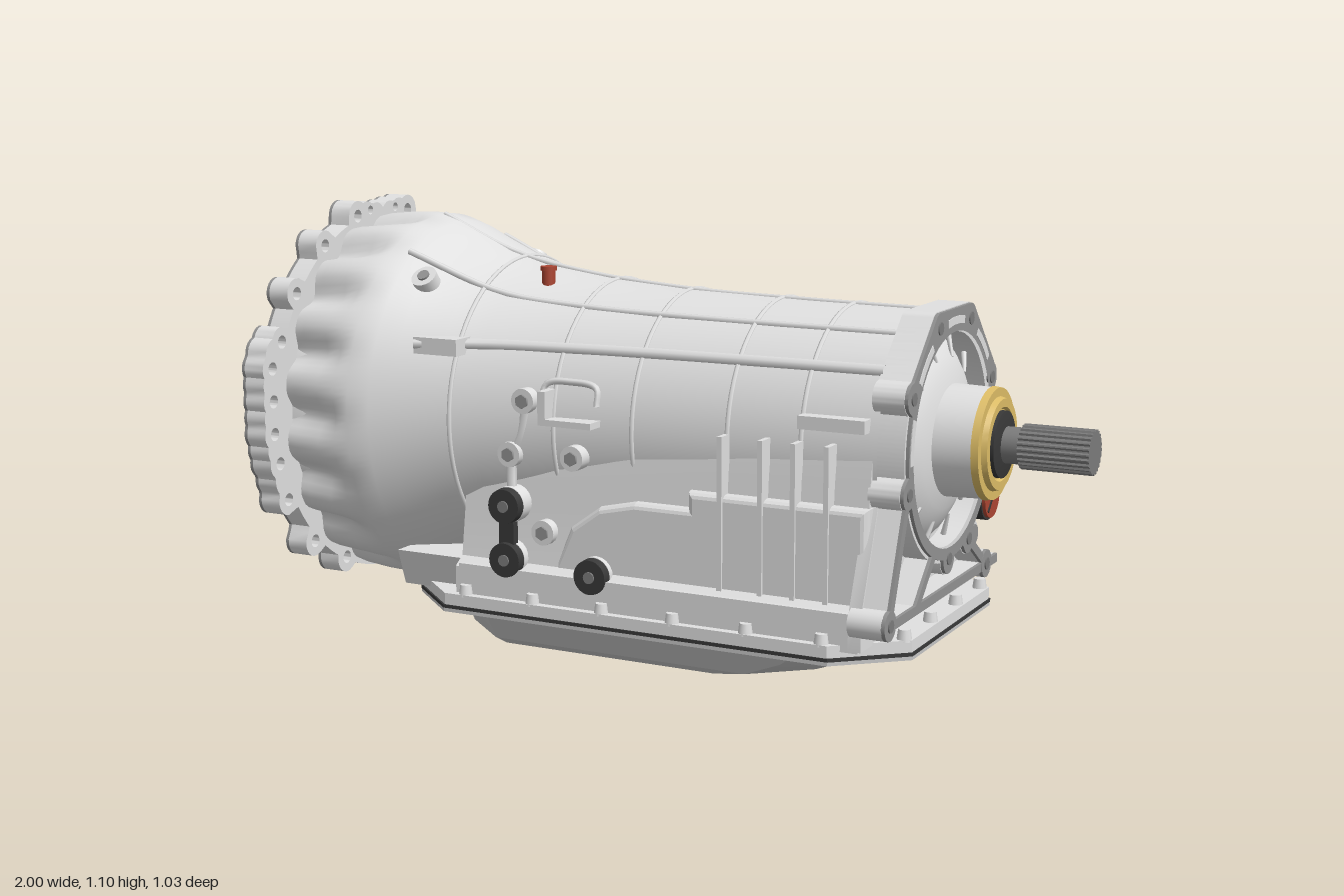
import * as THREE from 'three';
import { toCreasedNormals } from 'three/addons/utils/BufferGeometryUtils.js';

const CY = 0.612; // height of the main axis
const mat = (name, color, side = THREE.FrontSide) => Object.assign(new THREE.MeshStandardMaterial({ color, side }), { name });

export function createModel() {
  const root = new THREE.Group();
  root.name = 'gearbox';
  const alloy = mat('cast alloy', 0xe0e0e0, THREE.DoubleSide), machined = mat('machined face', 0x929292);
  const panGrey = mat('pan grey', 0xc6c6c6), steel = mat('dark steel', 0x7c7c7c);
  const black = mat('black rubber', 0x383838), brass = mat('brass', 0xdcbc66), red = mat('red plastic', 0xab4532);

  const add = (name, geo, m) => {
    const mesh = new THREE.Mesh(geo, m);
    mesh.name = name;
    root.add(mesh);
    return mesh;
  };
  const box = (name, m, x0, x1, y0, y1, z0, z1) =>
    add(name, new THREE.BoxGeometry(x1 - x0, y1 - y0, z1 - z0).translate((x0 + x1) / 2, (y0 + y1) / 2, (z0 + z1) / 2), m);
  // cylinder between two points
  const rod = (name, m, a, b, r, r2 = r, n = 20) => {
    const p = new THREE.Vector3(...a), d = new THREE.Vector3(...b).sub(p);
    const mesh = add(name, new THREE.CylinderGeometry(r2, r, d.length(), n), m);
    mesh.position.copy(p).addScaledVector(d, 0.5);
    mesh.quaternion.setFromUnitVectors(new THREE.Vector3(0, 1, 0), d.normalize());
  };
  const rodX = (name, m, x0, x1, y, z, r, n = 20) => rod(name, m, [x0, y, z], [x1, y, z], r, r, n);
  // profile of [x, radius] turned about the main axis
  const turn = (name, m, pts, n = 64) => {
    const g = new THREE.LatheGeometry(pts.map(([x, r]) => new THREE.Vector2(r, x)), n).rotateZ(-Math.PI / 2);
    add(name, toCreasedNormals(g, 0.5).translate(0, CY, 0), m);
  };
  // outline of [z, y] with round holes [z, y, r], extruded from x0 to x1
  const slab = (name, m, pts, x0, x1, holes = []) => {
    const s = new THREE.Shape(pts.map(([z, y]) => new THREE.Vector2(-z, y)));
    for (const [z, y, r] of holes) s.holes.push(new THREE.Path().absarc(-z, y, r, 0, Math.PI * 2, true));
    const g = new THREE.ExtrudeGeometry(s, { depth: x1 - x0, bevelEnabled: false, curveSegments: 28 });
    add(name, toCreasedNormals(g.rotateY(Math.PI / 2).translate(x0, 0, 0), 0.5), m);
  };
  // skin over closed rings of points, last ring capped if wanted
  const loft = (name, m, rings, cap, crease) => {
    const n = rings[0].length, idx = [], e = (rings.length - 1) * n;
    for (let i = 0; i < e; i += n)
      for (let j = 0; j < n; j++) {
        const a = i + j, b = i + (j + 1) % n;
        idx.push(a, b, a + n, b, b + n, a + n);
      }
    if (cap) for (let j = 1; j < n - 1; j++) idx.push(e, e + j, e + j + 1);
    const g = new THREE.BufferGeometry();
    g.setAttribute('position', new THREE.Float32BufferAttribute(rings.flat(2), 3));
    g.setIndex(idx);
    add(name, toCreasedNormals(g, crease), m);
  };
  const tube = (name, pts, r) =>
    add(name, new THREE.TubeGeometry(new THREE.CatmullRomCurve3(pts.map(p => new THREE.Vector3(...p))), 32, r, 6), alloy);
  // round outline that swells around each lug [z, y]
  const lugOutline = (R, lugs, lr) => Array.from({ length: 360 }, (_, i) => {
    const t = i * Math.PI / 180, c = Math.cos(t), s = Math.sin(t);
    let r = R;
    for (const [z, y] of lugs) {
      const along = z * c + (y - CY) * s, off = -z * s + (y - CY) * c;
      if (along > 0 && Math.abs(off) < lr) r = Math.max(r, along + Math.sqrt(lr * lr - off * off));
    }
    return [r * c, CY + r * s];
  });
  const mirror = pts => pts.flatMap(([z, y]) => [[z, y], [-z, y]]);
  // close row of points that fills an outline straight between two lugs
  const row = (a, b) => Array.from({ length: 16 }, (_, i) => [0, 1].map(k => a[k] + (b[k] - a[k]) * i / 15));

  // main housing with bolt pockets around the bell
  const profile = [[-0.89, 0.448], [-0.86, 0.455], [-0.79, 0.462], [-0.74, 0.464], [-0.7, 0.46], [-0.65, 0.443], [-0.6, 0.42], [-0.5, 0.376],
    [-0.4, 0.348], [-0.2, 0.322], [0, 0.308], [0.3, 0.3], [0.6, 0.296]];
  const radiusAt = x => {
    const i = Math.max(1, profile.findIndex(p => p[0] >= x)), [x0, r0] = profile[i - 1], [x1, r1] = profile[i];
    return r0 + (r1 - r0) * (x - x0) / (x1 - x0);
  };
  const pocket = [0.035, 0.04, 0.034, 0.016];
  loft('housing', alloy, profile.map(([x, r], i) => Array.from({ length: 180 }, (_, j) => {
    const a = j / 180 * Math.PI * 2, q = r - (pocket[i] || 0) * (0.5 - 0.5 * Math.cos(18 * a)) ** 1.5;
    return [x, CY + q * Math.cos(a), q * Math.sin(a) * (x < -0.55 ? 0.96 : 1)];
  })), false, 0.9);

  // bell flange
  const lugs = mirror([[0.11, 1.067], [0.25, 1.005], [0.37, 0.9], [0.435, 0.79], [0.475, 0.73], [0.475, 0.65], [0.475, 0.57],
    [0.458, 0.495], [0.43, 0.4], [0.33, 0.275], [0.2, 0.205]]);
  const webs = mirror([[0.03, 1.058], [0.07, 1.063], [0.46, 0.765], [0.474, 0.69], [0.474, 0.61], [0.465, 0.53], [0.44, 0.45]]);
  const bellHoles = [[0, CY, 0.405], ...lugs.map(([z, y]) => [z, y, 0.016]), [0.055, 1.078, 0.011], [-0.055, 1.078, 0.011]];
  const bellEdge = lugOutline(0.46, [...lugs, ...webs], 0.038);
  slab('bellFlange', alloy, bellEdge, -0.942, -0.888, bellHoles);
  slab('bellMatingFace', machined, bellEdge, -0.95, -0.942, bellHoles);
  turn('bellInterior', alloy, [[-0.95, 0.406], [-0.85, 0.4], [-0.76, 0.36], [-0.74, 0]]);
  rodX('starterBulge', alloy, -0.89, -0.72, 0.37, -0.365, 0.11, 32);
  add('starterBulgeEnd', new THREE.SphereGeometry(0.11, 32, 16).translate(-0.72, 0.37, -0.365), alloy);

  // torque converter
  turn('converter', alloy, [[-0.91, 0], [-0.91, 0.1], [-0.9, 0.11], [-0.9, 0.2], [-0.885, 0.21], [-0.885, 0.3], [-0.875, 0.31],
    [-0.875, 0.36], [-0.77, 0.36]]);
  for (const [r, x] of [[0.1, -0.908], [0.205, -0.892], [0.305, -0.88], [0.36, -0.872]])
    add('converterGroove', new THREE.TorusGeometry(r, 0.003, 6, 64).rotateY(Math.PI / 2).translate(x, CY, 0), machined);
  turn('converterHub', machined, [[-0.96, 0], [-0.96, 0.035], [-0.93, 0.04], [-0.93, 0.06], [-0.9, 0.06]], 32);
  rodX('converterPilot', steel, -0.99, -0.93, CY, 0, 0.022);
  rodX('pilotCollar', steel, -1, -0.982, CY, 0, 0.036, 24);
  for (let i = 0; i < 12; i++) {
    const a = i * Math.PI / 6, c = Math.cos(a), s = Math.sin(a);
    rodX('converterBolt', steel, -0.905, -0.89, CY + 0.16 * c, 0.16 * s, 0.013, 8);
    if (i % 2) rodX('driveLug', machined, -0.89, -0.87, CY + 0.33 * c, 0.33 * s, 0.018, 12);
  }

  // lower case
  slab('lowerCase', alloy, [[0.365, 0.19], [0.365, 0.27], [0.335, 0.29], [0.315, 0.42], [0.305, 0.55], [0.29, 0.65], [-0.29, 0.65],
    [-0.305, 0.55], [-0.315, 0.42], [-0.335, 0.29], [-0.355, 0.27], [-0.355, 0.19]], -0.45, 0.59);
  slab('frontLowerCase', alloy, [[0.3, 0.19], [0.33, 0.28], [-0.33, 0.28], [-0.3, 0.19]], -0.64, -0.44);
  const bulge = new THREE.Shape([[-0.2, 0.25], [0.58, 0.25], [0.58, 0.49], [0.17, 0.49], [0.17, 0.45], [0.02, 0.45], [-0.07, 0.43], [-0.14, 0.38]]
    .map(p => new THREE.Vector2(...p)));
  add('valveBulge', new THREE.ExtrudeGeometry(bulge, { depth: 0.1, bevelThickness: 0.02, bevelSize: 0.015, bevelSegments: 3 })
    .translate(0, 0, 0.216), alloy);
  slab('rearSideBlock', alloy, [[-0.2, 0.2], [-0.2, 0.4], [-0.26, 0.53], [-0.33, 0.52], [-0.355, 0.48], [-0.355, 0.2]], 0.34, 0.59);
  slab('rearLowerWall', alloy, [[0.385, 0.2], [0.385, 0.28], [0.28, 0.55], [-0.28, 0.55], [-0.345, 0.45], [-0.345, 0.2]], 0.575, 0.605);

  // plan outline with cut corners, running from +x towards +z
  const plan = (x0, x1, w, cx, cz, y) => [[x1, w - cz], [x1 - cx, w], [x0 + cx, w], [x0, w - cz], [x0, cz - w], [x0 + cx, -w],
    [x1 - cx, -w], [x1, cz - w]].map(([x, z]) => [x, y, z]);
  const plate = (name, m, y0, y1, grow) => {
    const s = new THREE.Shape(plan(-0.62 - grow, 0.675 + grow, 0.385 + grow, 0.15, 0.13, 0).map(([x, , z]) => new THREE.Vector2(x, -z)));
    add(name, new THREE.ExtrudeGeometry(s, { depth: y1 - y0, bevelEnabled: false }).rotateX(-Math.PI / 2).translate(0, y0, 0), m);
  };
  plate('caseRail', alloy, 0.177, 0.205, 0);
  plate('panGasket', black, 0.169, 0.177, 0.003);
  plate('panLip', panGrey, 0.16, 0.169, 0.002);
  loft('oilPan', panGrey, [plan(-0.53, 0.58, 0.345, 0.15, 0.13, 0.162), plan(-0.52, 0.53, 0.33, 0.14, 0.12, 0.13),
    plan(-0.505, 0.42, 0.31, 0.13, 0.11, 0.088), plan(-0.48, 0.32, 0.285, 0.12, 0.1, 0.07)], true, 0.3);
  loft('sump', panGrey, [plan(-0.04, 0.33, 0.16, 0.03, 0.03, 0.073), plan(-0.02, 0.29, 0.135, 0.03, 0.03, 0.055),
    plan(0.01, 0.22, 0.1, 0.03, 0.03, 0.022), plan(0.025, 0.2, 0.085, 0.03, 0.03, 0.015)], true, 0.3);
  rod('drainPlug', steel, [0.1, 0, 0], [0.1, 0.02, 0], 0.018, 0.018, 6);
  const panBolt = (x, z) => rod('panBolt', alloy, [x, 0.2, z], [x, 0.228, z], 0.018, 0.014, 10);
  for (const z of [0.28, 0.1, -0.085, -0.27]) { panBolt(0.655, z * 0.9); panBolt(-0.6, z * 0.85); }
  for (const s of [1, -1]) for (let i = 0; i < 6; i++) panBolt(-0.42 + i * 0.185, s * 0.368);

  // rear flange
  const rearLugs = [[0.1, 0.88], [-0.1, 0.88], [0.255, 0.745], [-0.255, 0.72], [0.272, 0.535], [-0.272, 0.565], [0.012, 0.335], [-0.12, 0.355]];
  const rearTop = [...rearLugs, ...row([0.1, 0.88], [-0.1, 0.88]), ...row([0.1, 0.88], [0.24, 0.745]), ...row([-0.1, 0.88], [-0.24, 0.735])];
  slab('rearFlange', alloy, lugOutline(0.285, rearTop, 0.037), 0.585, 0.66, [[0, CY, 0.248]]);
  slab('rearFlangeFace', machined, lugOutline(0.277, rearTop, 0.035), 0.66, 0.668, [[0, CY, 0.25]]);
  for (const [z, y] of rearLugs) rodX('rearBolt', steel, 0.66, 0.671, y, z, 0.015, 12);
  // light windows between the flange bolts
  for (const [a, r] of [[90, 0.285], [47, 0.28], [133, 0.28], [188, 0.272], [8, 0.272]]) {
    const arc = (q, d) => { const t = (a + d) * Math.PI / 180; return [q * Math.cos(t), CY + q * Math.sin(t)]; };
    slab('flangeWindow', alloy, [...[-11, -4, 4, 11].map(d => arc(r, d)), ...[11, 4, -4, -11].map(d => arc(r - 0.018, d))], 0.664, 0.67);
  }
  // frame bars under the rear flange
  for (const [z0, y0, z1, y1] of [[0.272, 0.53, 0.372, 0.265], [0.372, 0.262, -0.33, 0.262], [0.1, 0.37, 0.21, 0.265], [-0.12, 0.355, -0.25, 0.265]]) {
    const l = Math.hypot(z1 - z0, y1 - y0), u = (z1 - z0) / l * 0.011, v = (y1 - y0) / l * 0.011;
    const quad = [[z0 - v, y0 + u], [z1 - v, y1 + u], [z1 + v, y1 - u], [z0 + v, y0 - u]];
    slab('frameBar', alloy, quad, 0.59, 0.66);
    slab('frameBarFace', machined, quad, 0.66, 0.668);
  }
  for (const z of [0.372, -0.25]) {
    rodX('frameBoss', alloy, 0.58, 0.661, 0.265, z, 0.034);
    rodX('frameBossFace', machined, 0.66, 0.669, 0.265, z, 0.034);
    rodX('frameBolt', steel, 0.66, 0.672, 0.265, z, 0.015, 12);
  }

  // rear dome, seal and splined shaft
  turn('rearDome', alloy, [[0.59, 0.25], [0.6, 0.243], [0.622, 0.22], [0.642, 0.19], [0.656, 0.16], [0.664, 0.13], [0.76, 0.127], [0.768, 0.12], [0.768, 0]]);
  for (let i = 0; i < 12; i++) {
    const a = (i + 0.5) * Math.PI / 6, c = Math.cos(a), s = Math.sin(a);
    rod('domeRib', alloy, [0.625, CY + 0.247 * c, 0.247 * s], [0.642, CY + 0.19 * c, 0.19 * s], 0.007, 0.004, 6);
  }
  turn('brassRing', brass, [[0.755, 0.13], [0.772, 0.128], [0.772, 0.108], [0.785, 0.104], [0.785, 0.085], [0.778, 0.08], [0.778, 0.07]]);
  turn('shaftSeal', black, [[0.77, 0.077], [0.79, 0.077], [0.795, 0.055], [0.795, 0]], 40);
  rodX('shaftNeck', steel, 0.79, 0.84, CY, 0, 0.042, 32);
  slab('splinedShaft', steel, Array.from({ length: 96 }, (_, i) => {
    const r = i % 4 < 2 ? 0.052 : 0.048, a = i / 96 * Math.PI * 2;
    return [r * Math.cos(a), CY + r * Math.sin(a)];
  }), 0.835, 1);
  // rear plugs
  rodX('plugSeat', black, 0.58, 0.662, 0.425, -0.277, 0.058, 32);
  rodX('redPlug', red, 0.63, 0.67, 0.425, -0.277, 0.052, 32);
  const slot = box('plugSlot', black, -0.003, 0.003, -0.045, 0.045, -0.004, 0.004);
  slot.position.set(0.669, 0.425, -0.277);
  slot.rotation.x = -0.75;
  rodX('rearPort', alloy, 0.59, 0.655, 0.35, -0.185, 0.034);
  rodX('rearPortPlug', machined, 0.63, 0.66, 0.35, -0.185, 0.024);
  // breather
  rod('breather', red, [-0.33, 0.91, 0.115], [-0.33, 0.965, 0.115], 0.016);
  rod('breatherCap', red, [-0.33, 0.96, 0.115], [-0.33, 0.97, 0.115], 0.02);

  // ribs over the housing
  for (const x of [-0.46, -0.2, 0, 0.24, 0.42])
    add('ringRib', new THREE.TorusGeometry(radiusAt(x), 0.006, 6, 64).rotateY(Math.PI / 2).translate(x, CY, 0), alloy);
  const surf = (x, z) => [x, CY + Math.sqrt(radiusAt(x) ** 2 - z * z), z];
  tube('topRib', [-0.7, -0.5, -0.3, 0, 0.3, 0.59].map(x => surf(x, 0)), 0.007);
  for (const s of [1, -1]) {
    const side = (name, x0, x1, y0, y1, a, b) => box(name, alloy, x0, x1, y0, y1, ...(s > 0 ? [a, b] : [-b, -a]));
    tube('shoulderRib', [[-0.66, 0.22], [-0.42, 0.19], [-0.2, 0.17], [0.1, 0.155], [0.59, 0.145]].map(([x, z]) => surf(x, s * z)), 0.008);
    // rail that follows the housing at one height
    tube('sideRail', [-0.56, -0.4, -0.2, 0, 0.3, 0.59].map(x => [x, 0.798, s * Math.sqrt(radiusAt(x) ** 2 - 0.186 ** 2)]), 0.014);
    side('railBracket', -0.56, -0.44, 0.775, 0.815, 0.25, 0.36);
    side('rearBracket', 0.42, 0.58, 0.67, 0.7, 0.25, 0.32);
    side('lowerRail', -0.44, 0.59, 0.264, 0.278, 0.3, 0.366);
    for (const x of [0.24, 0.34, 0.42, 0.5]) side('sideRib', x - 0.006, x + 0.006, 0.28, 0.64, 0.24, s > 0 ? 0.342 : 0.318);
    rod('shoulderBoss', alloy, [-0.59, 0.87, s * 0.2], [-0.59, 0.948, s * 0.265], 0.032);
    rod('shoulderBossHole', machined, [-0.59, 0.94, s * 0.258], [-0.59, 0.952, s * 0.268], 0.015);
    side('midBracket', -0.22, -0.08, 0.63, 0.645, 0.28, 0.36);
    side('midBracketWeb', -0.22, -0.2, 0.63, 0.71, 0.28, 0.36);
  }

  // ports and bosses on the left side
  for (const [x, y] of [[-0.27, 0.68], [-0.31, 0.55], [-0.14, 0.555], [-0.22, 0.37]]) {
    rod('sideBoss', alloy, [x, y, 0.27], [x, y, 0.345], 0.03);
    rod('sideBossBolt', machined, [x, y, 0.34], [x, y, 0.351], 0.017, 0.017, 6);
  }
  for (const [x, y] of [[-0.31, 0.43], [-0.31, 0.3], [-0.08, 0.285]]) {
    rod('connectorBoss', alloy, [x, y, 0.28], [x, y, 0.35], 0.044);
    rod('connector', black, [x, y, 0.345], [x, y, 0.372], 0.043, 0.041, 28);
    rod('connectorCore', steel, [x, y, 0.365], [x, y, 0.376], 0.014, 0.014, 16);
  }
  box('connectorLink', black, -0.33, -0.29, 0.31, 0.42, 0.34, 0.36);
  tube('oilLine', [[-0.27, 0.67, 0.325], [-0.285, 0.6, 0.325], [-0.31, 0.54, 0.325], [-0.31, 0.44, 0.33]], 0.012);
  tube('clip', [[-0.22, 0.63, 0.34], [-0.22, 0.72, 0.32], [-0.15, 0.73, 0.315], [-0.085, 0.72, 0.32], [-0.08, 0.68, 0.33]], 0.008);
  // sensor boss on the right side
  rod('sensorBoss', alloy, [-0.42, 0.34, -0.27], [-0.42, 0.34, -0.375], 0.04);
  rod('sensorPlug', machined, [-0.42, 0.34, -0.37], [-0.42, 0.34, -0.385], 0.025, 0.025, 6);
  return root;
}
